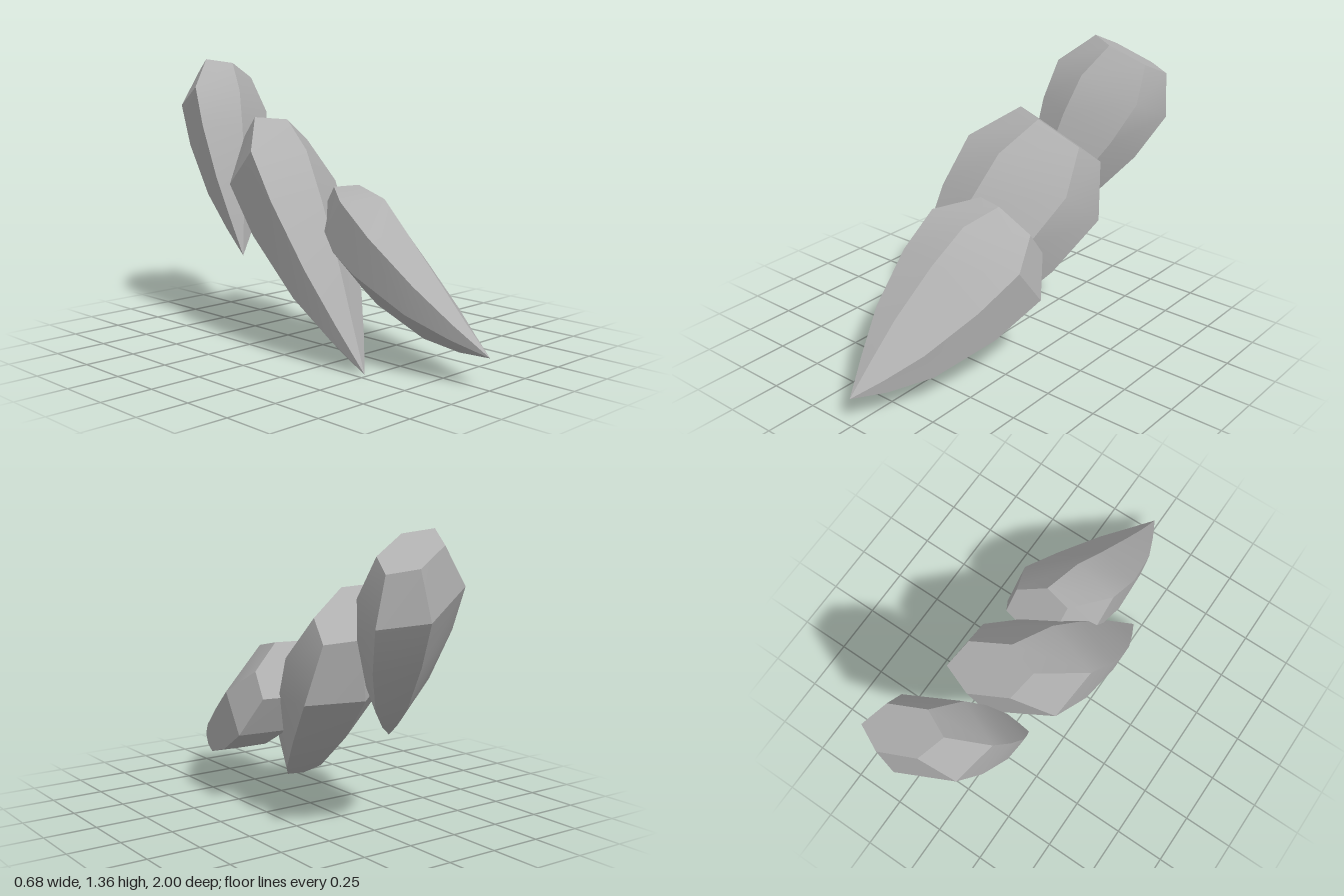
import * as THREE from 'three';
import { toCreasedNormals } from 'three/addons/utils/BufferGeometryUtils.js';

const v = (p) => new THREE.Vector3(...p);

// Lower rings of a pod: position along the axis, then size relative to the shoulder ring
const LOWER_RINGS = [[0.185, 0.3], [0.41, 0.62], [0.735, 0.9]];

// Six corners of a sheared hexagon spanned by a and b around centre c
function hexagon(c, a, b) {
  return [[1, 0], [0, 1], [-1, 1], [-1, 0], [0, -1], [1, -1]].map(([i, j]) =>
    c.clone().addScaledVector(a, i).addScaledVector(b, j));
}

// Faceted pod: pointed tip, swelling six-sided body, tapered shoulder and flat cap
function podGeometry({ tip, sag, body, cap }) {
  const start = v(tip), bend = v(sag);
  const [c, a, b] = body.map(v);
  const axis = c.clone().sub(start);
  const rings = LOWER_RINGS.map(([t, s]) => {
    const centre = start.clone().addScaledVector(axis, t).addScaledVector(bend, 4 * t * (1 - t));
    const tilted = a.clone().addScaledVector(axis, 0.12 * (1 - t)).multiplyScalar(s);
    return hexagon(centre, tilted, b.clone().multiplyScalar(s));
  });
  const capCentre = v(cap[0]);
  rings.push(hexagon(c, a, b), hexagon(...cap.map(v)));

  const pos = [];
  const tri = (...pts) => pts.forEach((p) => pos.push(p.x, p.y, p.z));
  const last = rings.length - 1;
  for (let j = 0; j < 6; j++) {
    const k = (j + 1) % 6;
    tri(start, rings[0][k], rings[0][j]);
    for (let i = 0; i < last; i++) {
      tri(rings[i][j], rings[i][k], rings[i + 1][k]);
      tri(rings[i][j], rings[i + 1][k], rings[i + 1][j]);
    }
    tri(capCentre, rings[last][j], rings[last][k]);
  }
  // The tip fan runs towards the start, so swap its winding to face outwards
  const geo = new THREE.BufferGeometry();
  geo.setAttribute('position', new THREE.Float32BufferAttribute(pos, 3));
  return toCreasedNormals(geo, 0.5);
}

// Each ring is given as centre, upper half-axis and side half-axis
const PODS = {
  frontPod: {
    tip: [0, 0.14, 1], sag: [-0.02, -0.03, 0],
    body: [[0.085, 0.55, 0.19], [-0.015, 0.185, 0.14], [0.235, -0.005, 0.05]],
    cap: [[0.12, 0.66, 0.05], [-0.01, 0.118, 0.08], [0.135, 0, 0.03]],
  },
  middlePod: {
    tip: [-0.21, 0, 0.48], sag: [-0.01, -0.02, 0],
    body: [[-0.005, 0.765, -0.27], [-0.045, 0.175, 0.21], [0.265, -0.005, 0.09]],
    cap: [[0.06, 0.97, -0.395], [-0.04, 0.1, 0.125], [0.155, -0.015, 0.06]],
  },
  backPod: {
    tip: [-0.15, 0.4, -0.41], sag: [0, -0.01, 0],
    body: [[0.068, 1.1, -0.81], [-0.055, 0.1, 0.19], [0.21, -0.02, 0.09]],
    cap: [[0.13, 1.275, -0.875], [-0.05, 0.06, 0.12], [0.125, -0.02, 0.06]],
  },
};

export function createModel() {
  const group = new THREE.Group();
  const grey = new THREE.MeshStandardMaterial({ color: 0xb0b0b0 });
  grey.name = 'stoneGrey';
  for (const [name, spec] of Object.entries(PODS)) {
    const mesh = new THREE.Mesh(podGeometry(spec), grey);
    mesh.name = name;
    group.add(mesh);
  }
  return group;
}
